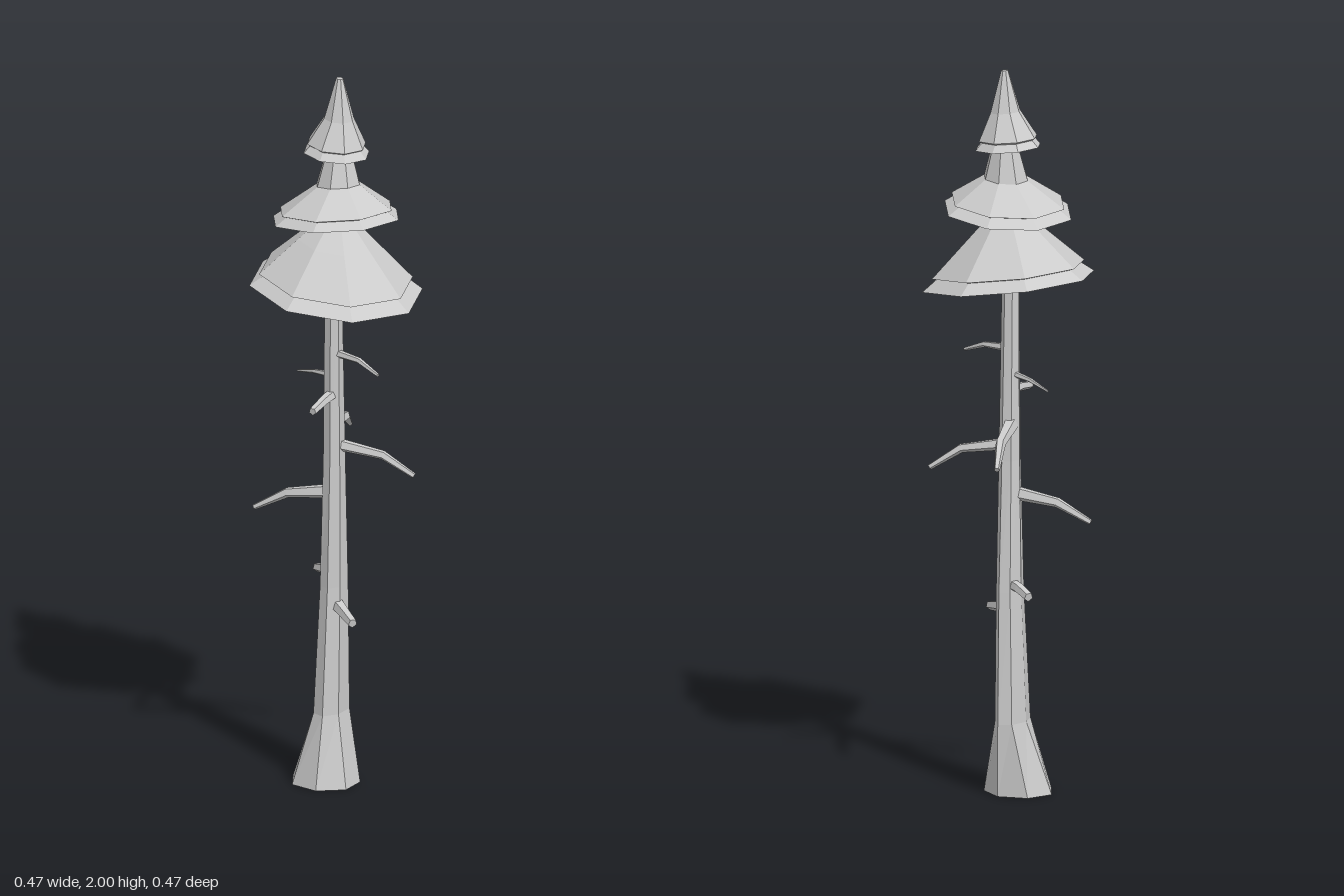
import * as THREE from 'three';

const material = new THREE.MeshStandardMaterial({ color: 0xcccccc, flatShading: true });

// Skin a list of closed rings (bottom to top) and cap both ends.
function loft(name, rings) {
  const pos = [];
  const tri = (...pts) => pts.forEach((p) => pos.push(p.x, p.y, p.z));
  const middle = (ring) => ring.reduce((s, p) => s.add(p), new THREE.Vector3()).divideScalar(ring.length);
  const n = rings[0].length;
  const first = rings[0], last = rings[rings.length - 1];
  const c0 = middle(first), c1 = middle(last);
  for (let j = 0; j < n; j++) {
    const k = (j + 1) % n;
    for (let i = 0; i < rings.length - 1; i++) {
      const lo = rings[i], hi = rings[i + 1];
      tri(lo[j], hi[j], lo[k]);
      tri(lo[k], hi[j], hi[k]);
    }
    tri(c0, first[j], first[k]);
    tri(c1, last[k], last[j]);
  }
  const geometry = new THREE.BufferGeometry();
  geometry.setAttribute('position', new THREE.Float32BufferAttribute(pos, 3));
  geometry.computeVertexNormals();
  const mesh = new THREE.Mesh(geometry, material);
  mesh.name = name;
  return mesh;
}

// Roughly level ring, with optional slope along x and z.
function levelRing(n, turn, cx, y, cz, rx, rz, slopeX = 0, slopeZ = 0) {
  return Array.from({ length: n }, (_, j) => {
    const a = turn + (j / n) * Math.PI * 2;
    const dx = Math.cos(a) * rx, dz = Math.sin(a) * rz;
    return new THREE.Vector3(cx + dx, y + slopeX * dx + slopeZ * dz, cz + dz);
  });
}

// Tapered five-sided stub following a few points.
function branch(points, r0, r1) {
  const path = points.map((p) => new THREE.Vector3(...p));
  const up = new THREE.Vector3(0, 1, 0);
  const rings = path.map((p, i) => {
    const t = path[Math.min(i + 1, path.length - 1)].clone().sub(path[Math.max(i - 1, 0)]).normalize();
    const v = t.clone().cross(up).normalize();
    const u = t.clone().cross(v);
    const r = THREE.MathUtils.lerp(r0, r1, i / (path.length - 1));
    return Array.from({ length: 5 }, (_, j) => {
      const a = (j / 5) * Math.PI * 2;
      return p.clone().addScaledVector(u, Math.cos(a) * r).addScaledVector(v, Math.sin(a) * r);
    });
  });
  return loft('branch', rings);
}

// Foliage tier: each profile entry is [radius, height, x, z].
function tier(name, turnDegrees, slopeX, slopeZ, profile) {
  const turn = THREE.MathUtils.degToRad(turnDegrees);
  return loft(name, profile.map(([r, y, x, z]) => levelRing(8, turn, x, y, z, r, r, slopeX, slopeZ)));
}

export function createModel() {
  const tree = new THREE.Group();
  tree.name = 'pineTree';

  // Leaning trunk with a flared foot: [x, y, z, radiusX, radiusZ]
  const trunk = [
    [-0.032, 0, 0.006, 0.098, 0.09],
    [-0.022, 0.2, -0.016, 0.042, 0.07],
    [-0.014, 0.56, -0.015, 0.034, 0.052],
    [-0.008, 0.92, -0.004, 0.029, 0.036],
    [-0.006, 1.42, 0.005, 0.024, 0.025],
  ];
  tree.add(loft('trunk', trunk.map(([x, y, z, rx, rz]) => levelRing(7, 0.45, x, y, z, rx, rz))));

  // Bare branches, from the trunk outwards
  const branches = new THREE.Group();
  branches.name = 'branches';
  const stubs = [
    [[[0, 1.225, 0.005], [0.085, 1.222, 0.025], [0.155, 1.197, 0.045]], 0.012, 0.005],
    [[[-0.01, 1.158, 0], [-0.08, 1.15, -0.025], [-0.15, 1.132, -0.055]], 0.01, 0.003],
    [[[-0.005, 1.108, 0.01], [0, 1.105, 0.07], [0.003, 1.095, 0.135]], 0.016, 0.011],
    [[[0, 0.962, -0.005], [0.125, 0.942, -0.035], [0.205, 0.887, -0.065]], 0.018, 0.008],
    [[[-0.015, 1.02, -0.01], [-0.05, 0.995, -0.14], [-0.083, 0.942, -0.225]], 0.021, 0.008],
    [[[-0.01, 0.828, 0], [-0.14, 0.808, 0.02], [-0.23, 0.758, 0.042]], 0.021, 0.008],
    [[[-0.015, 0.58, -0.02], [-0.065, 0.578, -0.06], [-0.112, 0.566, -0.095]], 0.017, 0.013],
    [[[-0.01, 0.51, -0.01], [0.04, 0.5, 0.03], [0.092, 0.488, 0.072]], 0.02, 0.013],
  ];
  stubs.forEach(([points, r0, r1]) => branches.add(branch(points, r0, r1)));
  tree.add(branches);

  // Stacked foliage, each tier with a skirt under an overhanging lip
  tree.add(
    tier('lowerFoliage', 5, -0.125, -0.025, [
      [0.238, 1.41, 0, 0], [0.198, 1.44, 0, 0], [0.211, 1.443, 0, 0],
      [0.107, 1.543, 0, -0.005], [0.055, 1.592, 0, -0.01],
    ]),
    tier('middleFoliage', -9, 0.09, 0.06, [
      [0.18, 1.607, 0, 0], [0.148, 1.629, 0, 0], [0.16, 1.633, 0, 0],
      [0.062, 1.7, 0, -0.012], [0.036, 1.795, 0, -0.016],
    ]),
    tier('upperFoliage', 0, -0.08, 0, [
      [0.092, 1.787, -0.01, -0.02], [0.074, 1.807, -0.01, -0.02], [0.082, 1.812, -0.01, -0.02],
      [0.042, 1.885, -0.002, -0.02], [0.01, 1.999, 0, -0.02],
    ]),
  );
  return tree;
}
